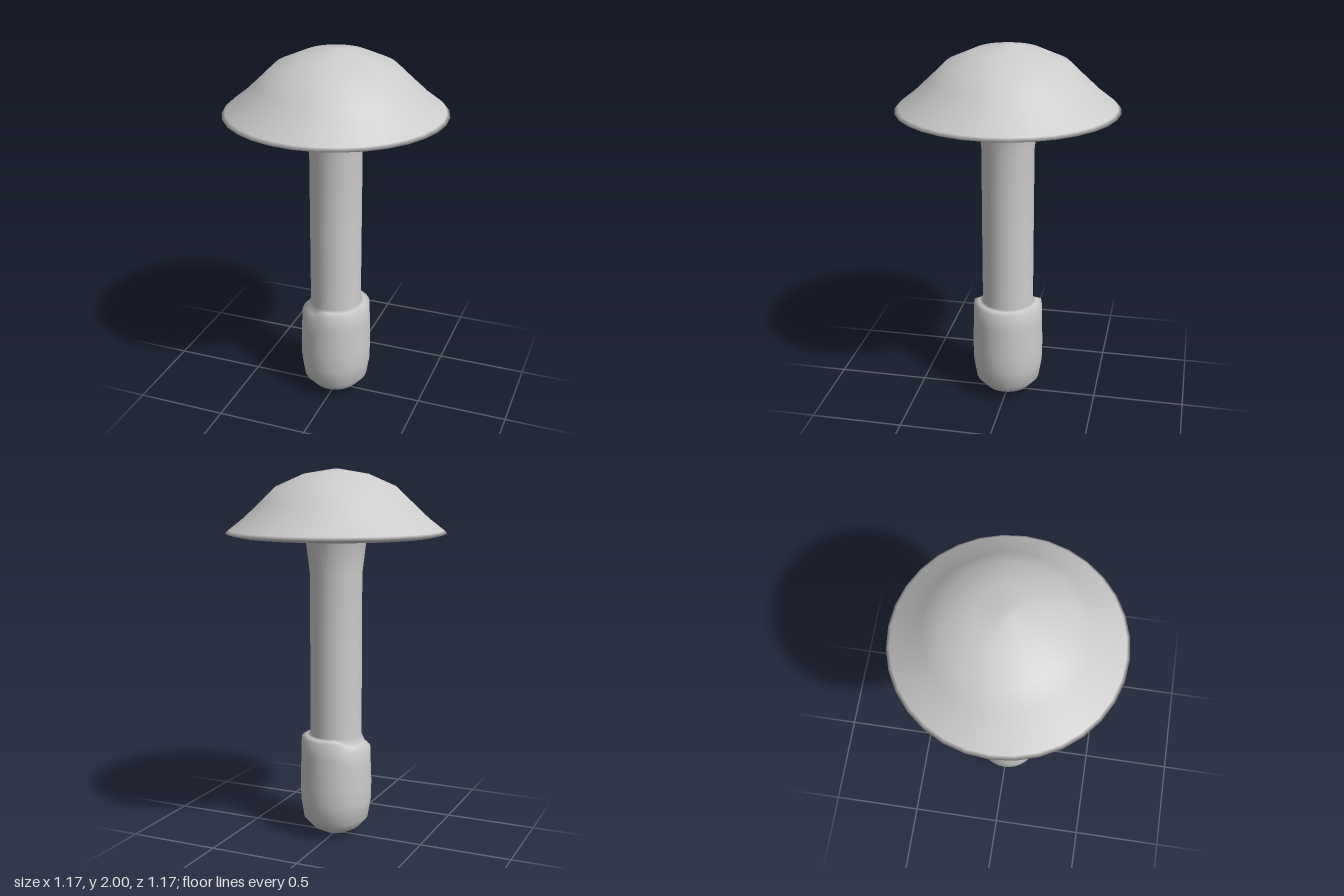
import * as THREE from 'three';
import { mergeVertices } from 'three/addons/utils/BufferGeometryUtils.js';

const SEGMENTS = 32;

function latheGeometry(profile) {
  return new THREE.LatheGeometry(profile.map(([r, y]) => new THREE.Vector2(r, y)), SEGMENTS);
}

function part(name, geometry) {
  const mesh = new THREE.Mesh(
    geometry,
    new THREE.MeshStandardMaterial({ color: 0xcccccc, side: THREE.DoubleSide })
  );
  mesh.name = name;
  return mesh;
}

// The lip of the foot dips on the right side
function dipLip(geometry) {
  const pos = geometry.attributes.position;
  for (let i = 0; i < pos.count; i++) {
    const x = pos.getX(i), y = pos.getY(i), z = pos.getZ(i);
    if (y < 0.45 || y > 0.6) continue;
    const r = Math.hypot(x, z);
    const dip = THREE.MathUtils.smoothstep((0.2 * z - x) / r, 0.2, 0.7);
    const outer = THREE.MathUtils.smoothstep(r, 0.14, 0.17);
    pos.setY(i, y - 0.055 * dip * outer);
  }
}

export function createModel() {
  const group = new THREE.Group();
  group.name = 'mushroom';

  // Domed cap with its underside folding softly around a thin rim
  group.add(part('cap', latheGeometry([
    [0.25, 1.712], [0.36, 1.7], [0.45, 1.68], [0.535, 1.655], [0.585, 1.668], [0.567, 1.685],
    [0.49, 1.745], [0.405, 1.825], [0.317, 1.91], [0.17, 1.975], [0.02, 2], [0, 2],
  ])));

  // Bulbous foot blending into the stem, which flares under the cap
  const stem = latheGeometry([
    [0, 0], [0.07, 0.013], [0.13, 0.045], [0.178, 0.1], [0.194, 0.2],
    [0.196, 0.3], [0.192, 0.46], [0.189, 0.555], [0.16, 0.566], [0.14, 0.572],
    [0.14, 1.1], [0.14, 1.45], [0.165, 1.66], [0.2, 1.71], [0.25, 1.712],
  ]);
  dipLip(stem);
  // Weld the closing seam for continuous smooth normals
  stem.deleteAttribute('uv');
  stem.deleteAttribute('normal');
  const welded = mergeVertices(stem);
  welded.computeVertexNormals();
  group.add(part('stemAndFoot', welded));

  return group;
}
